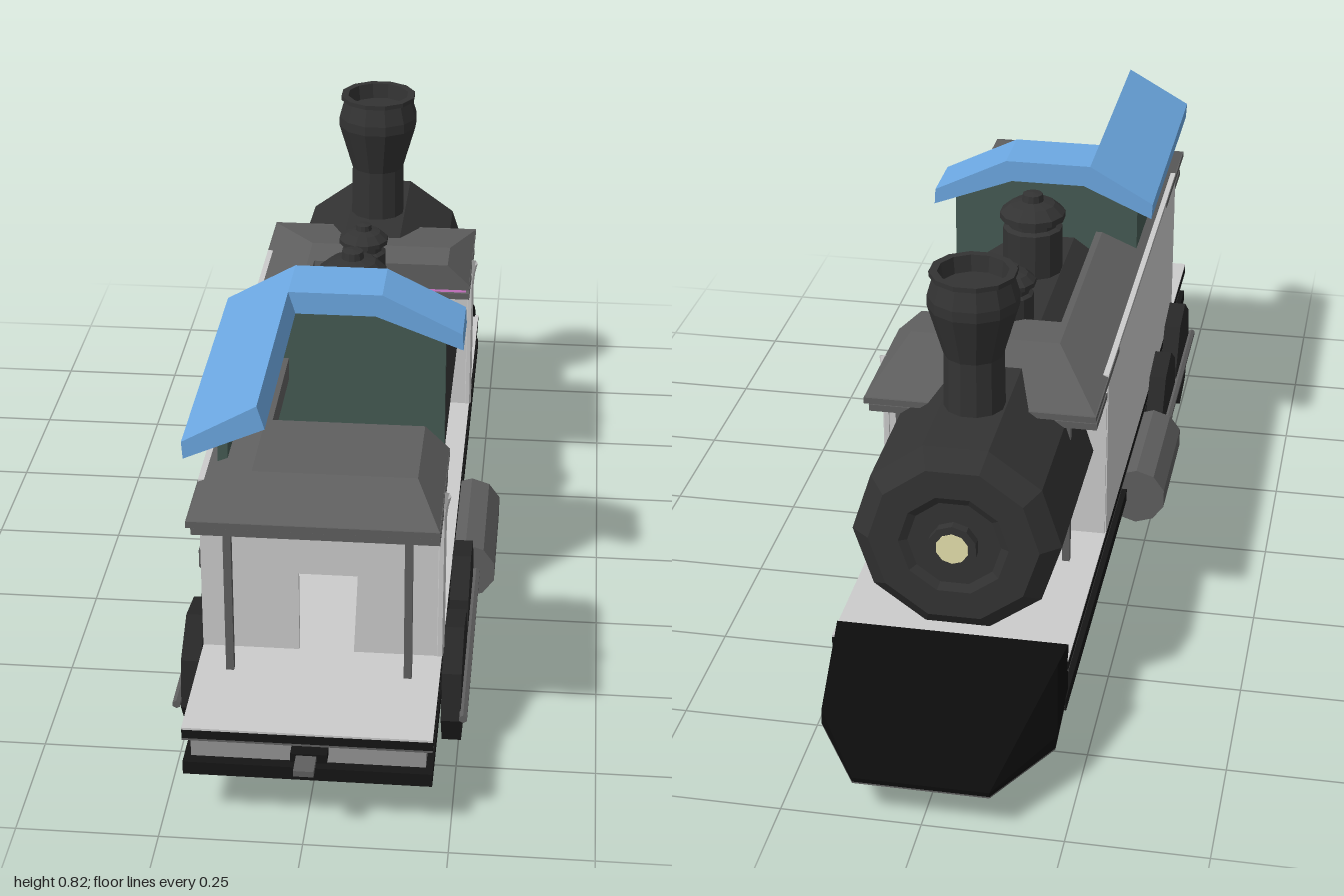
import * as THREE from 'three';
import { ConvexGeometry } from 'three/addons/geometries/ConvexGeometry.js';

const mat = (color) => new THREE.MeshStandardMaterial({ color, flatShading: true, side: THREE.DoubleSide });
const M = {
  wall: mat(0xcccccc), iron: mat(0x333333), black: mat(0x0c0c0c), dark: mat(0x151515), wheel: mat(0x272727),
  steel: mat(0x949494), roof: mat(0x5f5f5f), cab: mat(0x455a53), blue: mat(0x6ca8e2),
  pink: mat(0xdd80d6), lamp: mat(0xe6e0ac),
};
const CX = 0.004; // centre line of the round parts

export function createModel() {
  const root = new THREE.Group();

  const add = (name, geo, m, x = 0, y = 0, z = 0) => {
    const mesh = new THREE.Mesh(geo, m);
    mesh.name = name;
    mesh.position.set(x, y, z);
    root.add(mesh);
    return mesh;
  };
  // Box given by its limits on each axis
  const box = (name, m, x0, x1, y0, y1, z0, z1) =>
    add(name, new THREE.BoxGeometry(x1 - x0, y1 - y0, z1 - z0), m, (x0 + x1) / 2, (y0 + y1) / 2, (z0 + z1) / 2);
  const vec2 = (pts) => pts.map((p) => new THREE.Vector2(...p));
  const vec3 = (pts) => pts.map((p) => new THREE.Vector3(...p));
  const shapeOf = (pts) => new THREE.Shape(vec2(pts));
  // Outline in x and y, extruded from z0 to z1
  const prism = (name, m, shape, z0, z1) =>
    add(name, new THREE.ExtrudeGeometry(shape, { depth: z1 - z0, bevelEnabled: false }), m, 0, 0, z0);
  // Cylinder lying along z
  const rod = (name, m, r, x, y, z0, z1, sides = 6) =>
    add(name, new THREE.CylinderGeometry(r, r, z1 - z0, sides).rotateX(Math.PI / 2), m, x, y, (z0 + z1) / 2);
  const lathe = (name, m, pts, sides, y, z) =>
    add(name, new THREE.LatheGeometry(vec2(pts), sides, Math.PI / sides), m, CX, y, z);
  // Open rectangular frame lying flat, with rails of the given width
  const frame = (name, m, [x0, x1], [z0, z1], y0, y1, w) => {
    const rect = (d) => [[x0 + d, z0 + d], [x1 - d, z0 + d], [x1 - d, z1 - d], [x0 + d, z1 - d]];
    const shape = shapeOf(rect(0));
    shape.holes.push(new THREE.Path(vec2(rect(w))));
    add(name, new THREE.ExtrudeGeometry(shape, { depth: y1 - y0, bevelEnabled: false }).rotateX(Math.PI / 2), m, 0, y1, 0);
  };
  // Box whose top is drawn in on chosen sides, for hipped roofs
  const hip = (name, [x0, x1], [z0, z1], y0, y1, [inX0, inX1, inZ0, inZ1]) => {
    const g = new THREE.BoxGeometry(1, 1, 1);
    const p = g.attributes.position;
    for (let i = 0; i < p.count; i++) {
      const top = p.getY(i) > 0 ? 1 : 0;
      p.setXYZ(i,
        p.getX(i) < 0 ? x0 + top * inX0 : x1 - top * inX1,
        top ? y1 : y0,
        p.getZ(i) < 0 ? z0 + top * inZ0 : z1 - top * inZ1);
    }
    g.computeVertexNormals();
    return add(name, g, M.roof);
  };

  // Chassis: deck on a channel frame that is open below
  const deckX = [-0.212, 0.218];
  box('deck', M.wall, ...deckX, 0.191, 0.195, -0.74, 0.95);
  box('deckFlange', M.dark, ...deckX, 0.174, 0.191, -0.74, 0.95);
  box('deckUnderside', M.roof, ...deckX, 0.17, 0.174, -0.74, 0.95);
  frame('chassisWeb', M.steel, [-0.2, 0.206], [-0.74, 0.93], 0.125, 0.17, 0.01);
  frame('bottomFlange', M.dark, deckX, [-0.76, 0.95], 0.1, 0.125, 0.03);
  box('couplerPlate', M.dark, -0.025, 0.038, 0.14, 0.157, 0.92, 0.955);
  box('coupler', M.roof, -0.015, 0.02, 0.143, 0.154, 0.95, 1.0);

  // Plough at the leading end, with a plate beneath
  const plough = [], plate = [];
  for (const s of [-1, 1]) {
    const base = [[s * 0.21, 0.12, -0.73], [s * 0.21, 0.09, -0.86], [s * 0.12, 0.077, -1]];
    plough.push(...base, [s * 0.21, 0.22, -0.73], [s * 0.2, 0.212, -0.785], [s * 0.212, 0.11, -0.85], [s * 0.12, 0.085, -1]);
    for (const [x, y, z] of base) plate.push([x, y, z], [x, y - 0.003, z]);
  }
  add('plough', new ConvexGeometry(vec3(plough)), M.black);
  add('ploughPlate', new ConvexGeometry(vec3(plate)), M.roof);

  // Boiler, ten-sided with a flat on top
  const boiler = lathe('boiler', M.iron,
    [[0, 0], [0.19, 0], [0.19, 0.92], [0.155, 0.95], [0.1, 0.95], [0.085, 0.942], [0, 0.942]], 10, 0.375, 0.26);
  boiler.rotation.x = -Math.PI / 2;
  rod('lampRim', M.iron, 0.045, CX, 0.375, -0.7, -0.67, 10);
  rod('lamp', M.lamp, 0.03, CX, 0.375, -0.701, -0.68, 10);

  // Chimney and domes
  lathe('chimney', M.iron, [[0.057, 0.52], [0.055, 0.66], [0.083, 0.755], [0.083, 0.775], [0.072, 0.812],
    [0.079, 0.812], [0.079, 0.821], [0.064, 0.821], [0.06, 0.79], [0, 0.79]], 12, 0, -0.49);
  for (const [name, z, k, h] of [['steamDome', 0.1, 1, 0.115], ['sandDome', -0.14, 0.75, 0.08]]) {
    lathe(name, M.iron, [[0.06 * k, -0.03], [0.06 * k, h - 0.02], [0.05 * k, h - 0.015], [0.05 * k, h],
      [0.066 * k, h], [0.066 * k, h + 0.012 * k], [0.045 * k, h + 0.03 * k], [0.022 * k, h + 0.036 * k],
      [0.02 * k, h + 0.05 * k], [0, h + 0.053 * k]], 12, 0.553, z);
  }

  // House walls: long side, rear with a doorway, front around the boiler
  box('houseSideWall', M.wall, -0.212, -0.2, 0.195, 0.535, -0.3, 0.69);
  const rear = shapeOf([[-0.21, 0.195], [-0.038, 0.195], [-0.038, 0.353], [0.067, 0.353], [0.06, 0.195],
    [0.217, 0.195], [0.217, 0.5], [-0.21, 0.5]]);
  prism('houseRearWall', M.wall, rear, 0.68, 0.69);
  box('houseFrontWall', M.wall, -0.21, 0.217, 0.195, 0.5, -0.305, -0.295);

  // Hipped roof wrapping the rear, side and front
  const eave = [-0.213, 0.218];
  hip('rearRoof', eave, [0.53, 0.83], 0.53, 0.573, [0.1, 0.045, 0, 0.11]);
  hip('frontRoof', eave, [-0.46, -0.17], 0.53, 0.573, [0.1, 0.045, 0.2, 0]);
  hip('sideRoof', [-0.213, -0.1], [-0.17, 0.53], 0.53, 0.573, [0.1, 0, 0, 0]);
  for (const [z0, z1, a, b] of [[0.53, 0.83, 0.05, 0.04], [-0.46, -0.17, 0.04, 0.03]]) {
    box('eaveSlab', M.roof, ...eave, 0.519, 0.531, z0, z1);
    box('eaveBand', M.pink, -0.202, 0.21, 0.499, 0.519, z0 + a, z1 - b);
    box('lowerSlab', M.roof, -0.21, 0.217, 0.487, 0.5, z0 + a * 0.8, z1 - b * 0.8);
  }

  // Porch posts and downpipes
  for (const z of [0.76, -0.41]) {
    for (const x of [-0.153, 0.162]) box('porchPost', M.roof, x - 0.007, x + 0.007, 0.195, 0.488, z - 0.007, z + 0.007);
  }
  for (const z of [0.685, -0.3]) {
    const path = new THREE.CurvePath();
    const pts = vec3([[0.222, 0.53, z + 0.015], [0.214, 0.49, z], [0.214, 0.195, z]]);
    path.add(new THREE.LineCurve3(pts[0], pts[1]));
    path.add(new THREE.LineCurve3(pts[1], pts[2]));
    add('downpipe', new THREE.TubeGeometry(path, 12, 0.008, 6), M.wall);
  }

  // Cab: gabled front wall and side wall with a window
  prism('cabFrontWall', M.cab, shapeOf([[-0.185, 0.195], [0.195, 0.195], [0.195, 0.645], [0.07, 0.695],
    [-0.08, 0.695], [-0.185, 0.645]]), 0.26, 0.28);
  const side = shapeOf([[0.26, 0.195], [0.635, 0.195], [0.635, 0.65], [0.26, 0.65]]);
  side.holes.push(new THREE.Path(vec2([[0.35, 0.365], [0.35, 0.49], [0.52, 0.49], [0.52, 0.365]])));
  add('cabSideWall', new THREE.ExtrudeGeometry(side, { depth: 0.018, bevelEnabled: false }).rotateY(-Math.PI / 2), M.cab, -0.167);

  // Cab roof: full arch in front, one slope carried on to the rear
  prism('cabRoof', M.blue, shapeOf([[-0.222, 0.662], [-0.22, 0.63], [-0.08, 0.692], [0.068, 0.692],
    [0.23, 0.63], [0.228, 0.662], [0.08, 0.735], [-0.093, 0.735]]), 0.215, 0.335);
  prism('cabRoofSlope', M.blue, shapeOf([[-0.222, 0.662], [-0.22, 0.63], [-0.08, 0.692], [-0.093, 0.735]]), 0.335, 0.79);

  // Running gear on both sides
  const wheel = (name, r, w, x, z) =>
    add(name, new THREE.CylinderGeometry(r, r, w, 8).rotateX(Math.PI / 2).rotateZ(0.2).rotateY(Math.PI / 2), M.wheel, x, r, z);
  for (const s of [-1, 1]) {
    for (const z of [0.63, 0.383]) wheel('driveWheel', 0.118, 0.035, CX + s * 0.234, z);
    for (const z of [-0.125, -0.275, -0.425, -0.578]) wheel('smallWheel', 0.061, 0.054, CX + s * 0.16, z);
    rod('pistonCylinder', M.roof, 0.06, CX + s * 0.235, 0.11, -0.01, 0.255, 10);
    rod('driveRod', M.roof, 0.008, CX + s * 0.257, 0.11, 0.25, 0.76);
    rod('smallRod', M.roof, 0.007, CX + s * 0.192, 0.057, -0.69, 0.02);
  }
  return root;
}
